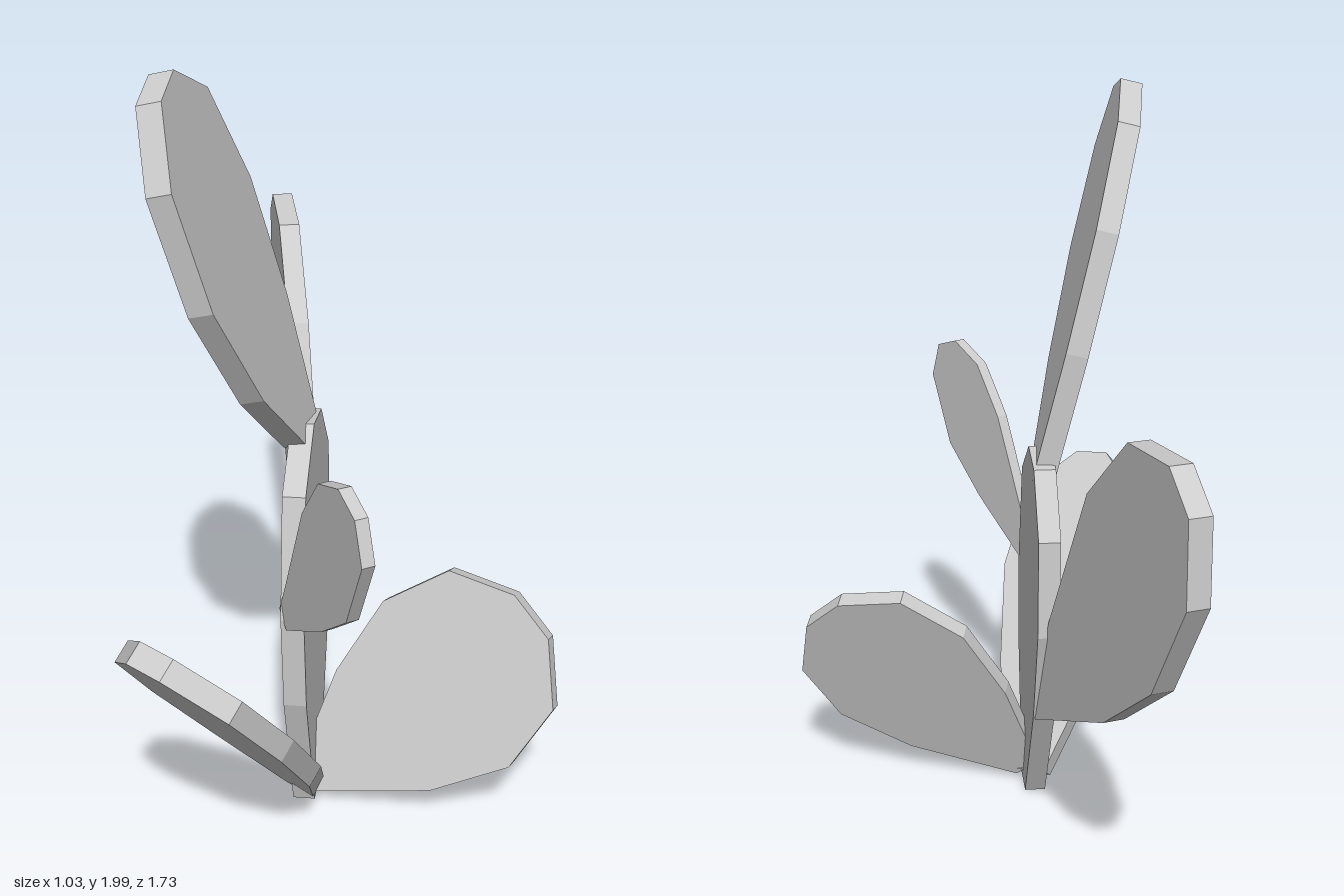
import * as THREE from 'three';

// One flat pad: outline [u, v] of its outer face, laid on the plane w = a + b*v + c*u,
// with its thickness running inwards along the plane's normal.
// Side pads are turned so that w points to +x and u to -z.
function pad(name, { outline, plane: [a, b, c], thickness, side = false }) {
  const shape = new THREE.Shape(outline.map(([u, v]) => new THREE.Vector2(u, v)));
  const geometry = new THREE.ExtrudeGeometry(shape, { depth: thickness, bevelEnabled: false });
  const normal = new THREE.Vector3(-c, -b, 1).normalize();
  const position = geometry.attributes.position;
  const p = new THREE.Vector3();
  for (let i = 0; i < position.count; i++) {
    p.fromBufferAttribute(position, i);
    const inward = p.z - thickness;
    p.z = a + b * p.y + c * p.x;
    p.addScaledVector(normal, inward);
    position.setXYZ(i, p.x, p.y, p.z);
  }
  if (side) geometry.rotateY(Math.PI / 2);
  geometry.computeVertexNormals();
  const material = new THREE.MeshStandardMaterial({ color: 0xcccccc, flatShading: true });
  const mesh = new THREE.Mesh(geometry, material);
  mesh.name = name;
  return mesh;
}

const pads = {
  // upright pad that carries the others
  mainPad: {
    side: true, plane: [-0.12, 0, 0], thickness: 0.058,
    outline: [[-0.275, 0.01], [-0.17, 0.01], [0.015, 0.363], [0.095, 0.64], [0.085, 0.908],
      [-0.04, 1.06], [-0.17, 1.078], [-0.33, 0.957], [-0.4, 0.65], [-0.387, 0.39]],
  },
  // tall pad on top, leaning to the right
  topPad: {
    side: true, plane: [0.125, -0.234, 0.08], thickness: 0.058,
    outline: [[-0.21, 1.04], [-0.07, 1.02], [-0.048, 1.37], [-0.085, 1.677], [-0.212, 1.92],
      [-0.392, 2.0], [-0.514, 1.963], [-0.604, 1.794], [-0.567, 1.518], [-0.413, 1.248]],
  },
  // long pad reaching back
  backPad: {
    side: true, plane: [-0.122, 0, -0.25], thickness: 0.056,
    outline: [[0.01, 0.35], [0.461, 0.596], [0.715, 0.813], [0.864, 1.09], [0.853, 1.295],
      [0.753, 1.373], [0.545, 1.35], [0.328, 1.142], [0.1, 0.69], [0, 0.41]],
  },
  // small pad reaching forward from the main pad's edge
  upperFrontPad: {
    side: true, plane: [-0.346, -0.03, -0.58], thickness: 0.031,
    outline: [[-0.395, 0.63], [-0.36, 0.67], [-0.4, 0.75], [-0.53, 1.036], [-0.625, 1.163],
      [-0.726, 1.206], [-0.8, 1.174], [-0.825, 1.073], [-0.737, 0.882], [-0.6, 0.765]],
  },
  // low pad leaning forward to the right
  lowerRightPad: {
    plane: [0.34, 0.991, 0.66], thickness: 0.058,
    outline: [[-0.2, 0.02], [-0.125, 0.01], [-0.098, 0.23], [-0.13, 0.465], [-0.22, 0.665],
      [-0.368, 0.772], [-0.453, 0.783], [-0.515, 0.702], [-0.48, 0.5], [-0.352, 0.257]],
  },
  // low pad spreading to the left
  lowerLeftPad: {
    plane: [0.326, -0.344, 0.273], thickness: 0.048,
    outline: [[-0.114, 0.04], [0.193, 0.114], [0.395, 0.22], [0.5, 0.385], [0.48, 0.554],
      [0.39, 0.644], [0.22, 0.672], [0.05, 0.564], [-0.07, 0.365], [-0.17, 0.095]],
  },
};

export function createModel() {
  const group = new THREE.Group();
  group.name = 'cactus';
  for (const [name, spec] of Object.entries(pads)) group.add(pad(name, spec));
  return group;
}
